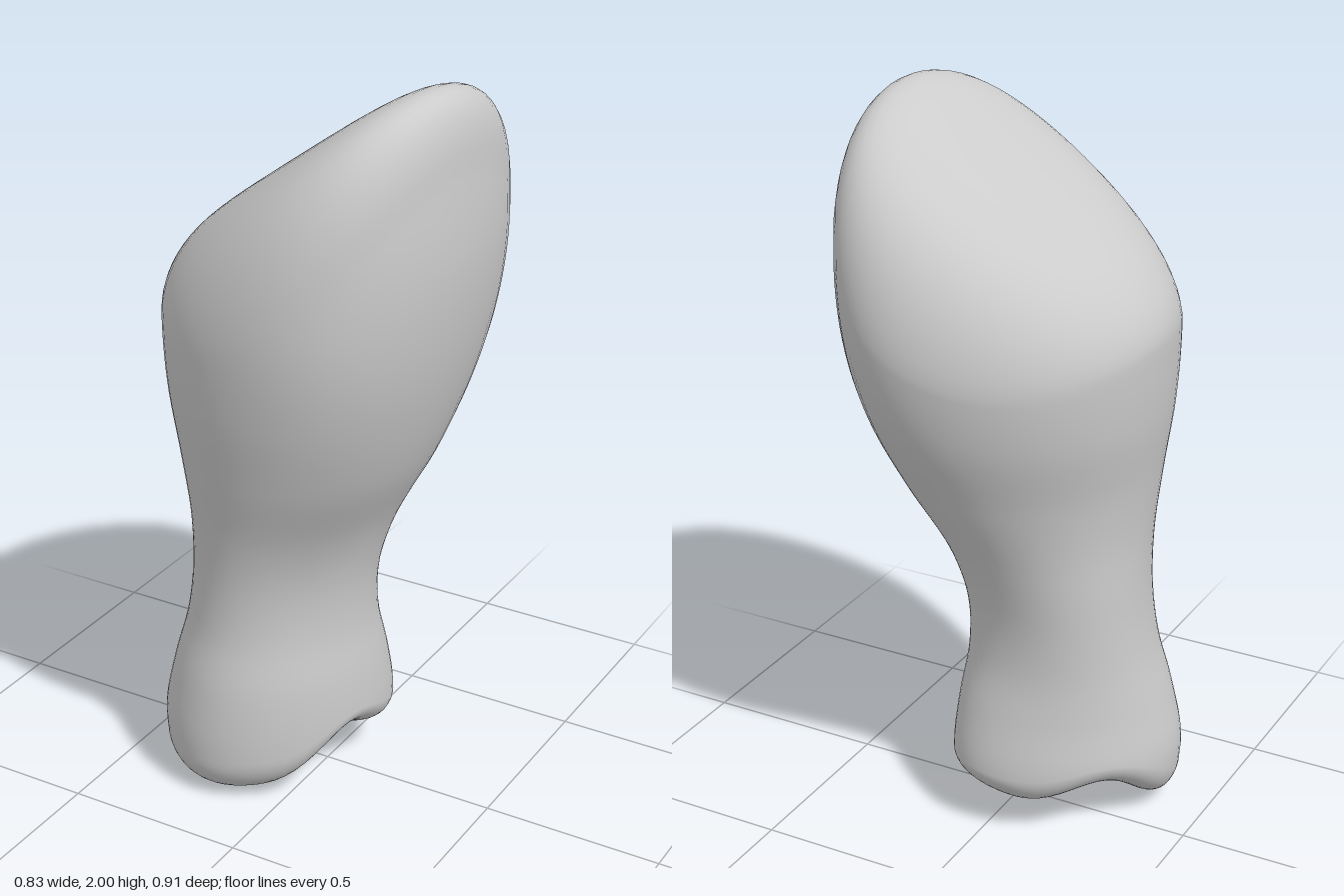
import * as THREE from 'three';
import { mergeVertices } from 'three/addons/utils/BufferGeometryUtils.js';

// Horizontal sections of the shaft:
// height, then xMin, xMax, zMin, zMax, skew of the front half, skew of the back half
const SECTIONS = [
  [0.10, -0.410, 0.145, -0.225, 0.354, 0.22, 0.24],
  [0.20, -0.417, 0.152, -0.232, 0.358, 0.21, 0.23],
  [0.35, -0.386, 0.147, -0.210, 0.345, 0.18, 0.20],
  [0.50, -0.347, 0.134, -0.188, 0.318, 0.13, 0.13],
  [0.65, -0.327, 0.146, -0.192, 0.315, 0.09, 0.10],
  [0.80, -0.327, 0.190, -0.228, 0.335, 0.07, 0.11],
  [1.00, -0.350, 0.285, -0.315, 0.385, 0.03, 0.15],
  [1.20, -0.380, 0.352, -0.402, 0.430, -0.02, 0.18],
  [1.40, -0.391, 0.395, -0.448, 0.455, -0.05, 0.20],
  [1.60, -0.388, 0.414, -0.455, 0.453, -0.05, 0.20],
  [1.90, -0.380, 0.397, -0.430, 0.430, -0.05, 0.20],
];
const section = new THREE.CubicInterpolant(
  SECTIONS.map((s) => s[0]), SECTIONS.flatMap((s) => s.slice(1)), 6);

const { lerp, clamp, smoothstep } = THREE.MathUtils;
const KNUCKLES = Math.PI * 0.75; // direction of the line through both knuckles

// Point of the outer wall at an angle and a height
function wall(a, y) {
  const [x0, x1, z0, z1, skewFront, skewBack] = section.evaluate(y);
  const skew = lerp(skewBack, skewFront, (1 + Math.sin(a)) / 2);
  // a groove along one side of the neck, a ridge along the opposite side
  const along = Math.cos(a - KNUCKLES), across = Math.sin(a - KNUCKLES);
  const neck = Math.exp(-(((y - 0.65) / 0.27) ** 2));
  const groove = across < 0 ? 0.02 + 0.1 * neck : -0.02 - 0.13 * neck;
  const k = 1 - groove * across ** 4 * (1 - smoothstep(y, 0.7, 1.3))
    - 0.06 * along ** 5 * (1 - smoothstep(y, 0.2, 0.7))
    + 0.03 * Math.sin(2 * a) ** 2 * smoothstep(y, 0.8, 1.35);
  return new THREE.Vector3(
    (x0 + x1) / 2 + k * (x1 - x0) / 2 * Math.cos(a), y,
    (z0 + z1) / 2 + k * (z1 - z0) / 2 * Math.sin(a - skew));
}

// Underside: a large and a small knuckle with a hollow between them,
// the hollow bending towards the small knuckle on one side
function underside(a, s) {
  const n = s * Math.cos(a - KNUCKLES), m = s * Math.cos(a - Math.PI / 4);
  const bent = clamp(n + 0.55 * Math.max(0, m), -0.75, 0.75);
  return 0.08 + 0.052 * Math.cos(Math.PI * bent / 0.75) - 0.065 * n
    + 0.03 * Math.exp(-(n * n + m * m) / 0.1);
}

// Slanted top face, falling away a little to front and back
const topFace = (x, z) => 1.82 + 0.73 * x - 0.5 * (z - 0.12) ** 2;
const topDrop = ({ x, z }) => 0.2 + 0.2 * x + (z < 0 ? 0.4 : 0.6) * z * z;
const round = (s, p) => 1 - Math.sqrt(Math.max(0, 1 - s ** p));

function boneGeometry() {
  const around = 64, capRows = 18, wallRows = 44;
  const rows = capRows * 2 + wallRows;
  const position = [], index = [];
  const columns = [];
  for (let i = 0; i < around; i++) {
    const a = i / around * Math.PI * 2;
    const low = wall(a, 0.15 + 0.6 * underside(a, 0.9));
    // settle the upper rim where the wall meets the rounded top
    let high = wall(a, 1.5);
    for (let k = 0; k < 12; k++) {
      high = wall(a, lerp(high.y, topFace(high.x, high.z) - topDrop(high), 0.6));
    }
    columns.push({ a, low, high });
  }

  for (let j = 0; j <= rows; j++) {
    for (const { a, low, high } of columns) {
      let p;
      if (j < capRows) {
        const s = Math.sin(j / capRows * Math.PI / 2);
        p = new THREE.Vector3(lerp(-0.13, low.x, s),
          lerp(underside(a, s), low.y, round(s, 3)), lerp(0.06, low.z, s));
      } else if (j <= capRows + wallRows) {
        p = wall(a, lerp(low.y, high.y, (j - capRows) / wallRows));
      } else {
        const s = Math.sin((rows - j) / capRows * Math.PI / 2);
        const x = lerp(0.01, high.x, s), z = lerp(0, high.z, s);
        p = new THREE.Vector3(x, topFace(x, z) - topDrop(high) * round(s, 5.5), z);
      }
      position.push(p.x, p.y, p.z);
    }
  }
  for (let j = 0; j < rows; j++) {
    for (let i = 0; i < around; i++) {
      const a = j * around + i, b = j * around + (i + 1) % around;
      if (j < rows - 1) index.push(a, a + around, b + around);
      if (j > 0) index.push(a, b + around, b);
    }
  }

  let geometry = new THREE.BufferGeometry();
  geometry.setAttribute('position', new THREE.Float32BufferAttribute(position, 3));
  geometry.setIndex(index);
  geometry = mergeVertices(geometry, 1e-5);
  // stand on the ground
  geometry.computeBoundingBox();
  geometry.translate(0, -geometry.boundingBox.min.y, 0);
  geometry.computeVertexNormals();
  return geometry;
}

export function createModel() {
  const group = new THREE.Group();
  const bone = new THREE.Mesh(boneGeometry(),
    new THREE.MeshStandardMaterial({ color: 0xcccccc }));
  bone.name = 'bone';
  group.add(bone);
  return group;
}
